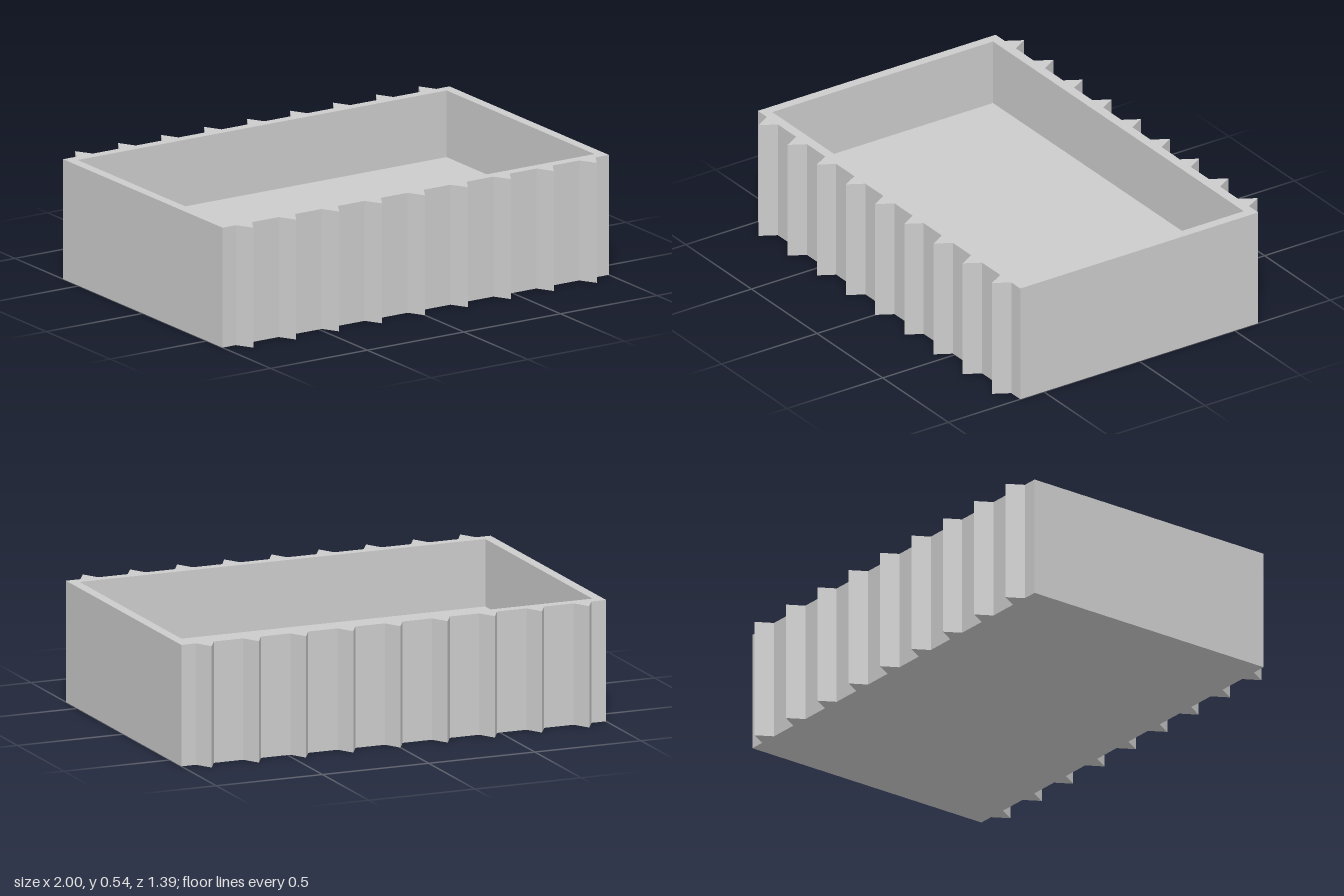
import * as THREE from 'three';

const HX = 1, HZ = 0.623, HEIGHT = 0.54;
const WALL = 0.045, FLOOR = 0.24;
const RIBS = 9, RIB_SPACING = 2 / 9, RIB_HALF = 0.042, RIB_DEPTH = 0.073;

// Open tray: rectangular rings joined from base to rim to inner floor
function trayGeometry() {
  const rings = [
    [HX, HZ, 0], [HX, HZ, HEIGHT],
    [HX - WALL, HZ - WALL, HEIGHT], [HX - WALL, HZ - WALL, FLOOR],
  ].map(([x, z, y]) => [[x, y, z], [x, y, -z], [-x, y, -z], [-x, y, z]]);

  const pos = [];
  const quad = (a, b, c, d) => pos.push(...a, ...b, ...c, ...a, ...c, ...d);
  for (let r = 0; r < rings.length - 1; r++) {
    for (let i = 0; i < 4; i++) {
      const j = (i + 1) % 4;
      quad(rings[r][i], rings[r][j], rings[r + 1][j], rings[r + 1][i]);
    }
  }
  quad(...[...rings[0]].reverse()); // underside
  quad(...rings[3]);                // inner floor

  const geo = new THREE.BufferGeometry();
  geo.setAttribute('position', new THREE.Float32BufferAttribute(pos, 3));
  geo.computeVertexNormals();
  return geo;
}

// Upright triangular rib pointing towards -z
function ribGeometry() {
  const shape = new THREE.Shape([
    new THREE.Vector2(-RIB_HALF, 0),
    new THREE.Vector2(RIB_HALF, 0),
    new THREE.Vector2(0, RIB_DEPTH),
  ]);
  const geo = new THREE.ExtrudeGeometry(shape, { depth: HEIGHT, bevelEnabled: false });
  geo.rotateX(-Math.PI / 2);
  return geo;
}

export function createModel() {
  const model = new THREE.Group();
  model.name = 'ribbedTray';
  const material = new THREE.MeshStandardMaterial({ color: 0xcccccc, flatShading: true });

  const tray = new THREE.Mesh(trayGeometry(), material);
  tray.name = 'tray';
  model.add(tray);

  // A row of ribs along each long wall
  const rib = ribGeometry();
  for (const side of [1, -1]) {
    const row = new THREE.Group();
    row.name = side > 0 ? 'frontRibs' : 'backRibs';
    row.position.z = side * HZ;
    if (side > 0) row.rotation.y = Math.PI;
    for (let i = 0; i < RIBS; i++) {
      const mesh = new THREE.Mesh(rib, material);
      mesh.name = 'rib';
      mesh.position.x = (i - (RIBS - 1) / 2) * RIB_SPACING;
      row.add(mesh);
    }
    model.add(row);
  }
  return model;
}
